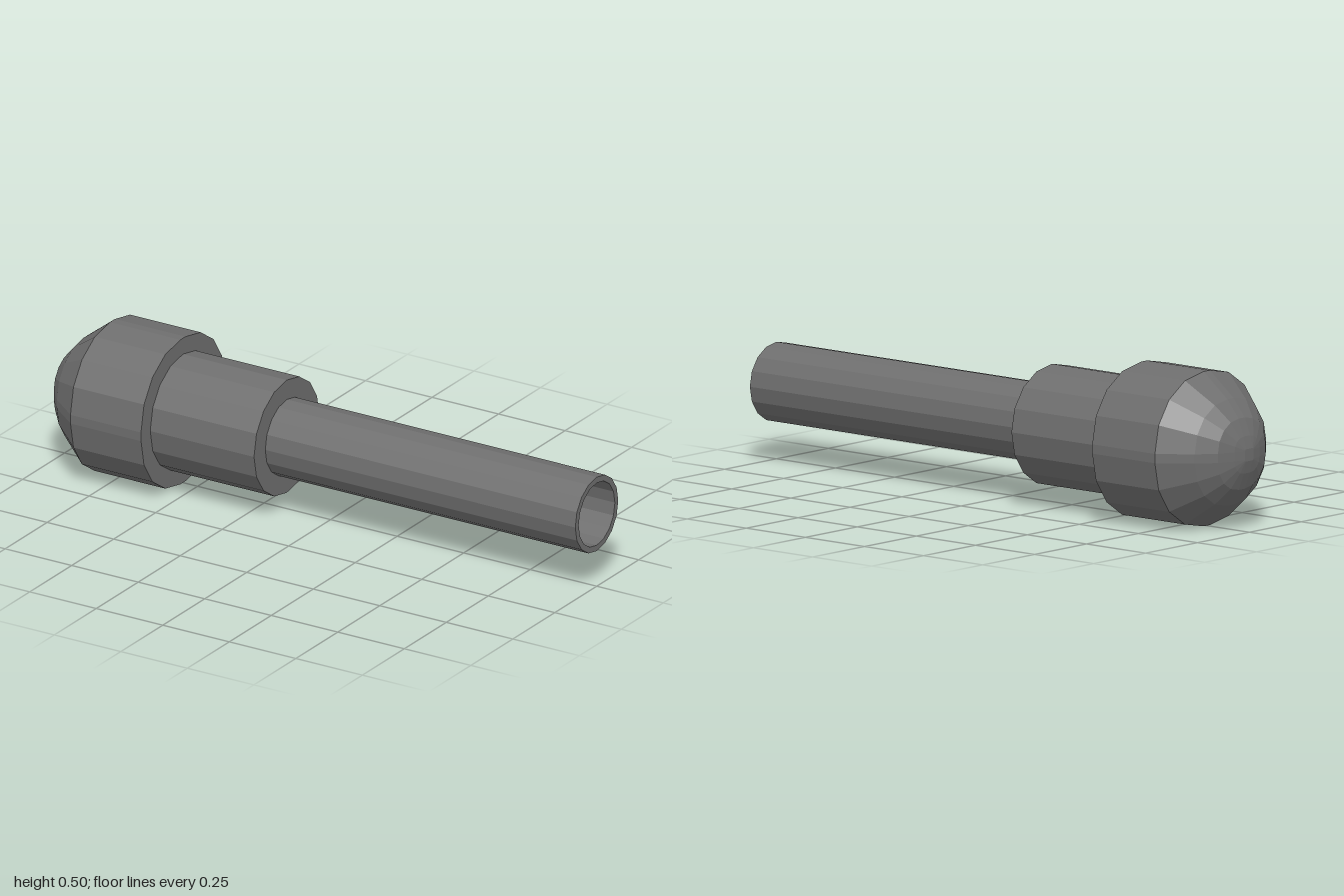
import * as THREE from 'three';

// Cross-section of the head: a square with very round corners, five points per corner
function roundedSquare(x, core, radius) {
  const ring = [];
  for (let q = 0; q < 4; q++) {
    const corner = Math.PI / 4 + q * Math.PI / 2;
    const cy = core * Math.sign(Math.cos(corner));
    const cz = core * Math.sign(Math.sin(corner));
    for (let i = 0; i < 5; i++) {
      const a = q * Math.PI / 2 + i * Math.PI / 8;
      ring.push([x, cy + radius * Math.cos(a), cz + radius * Math.sin(a)]);
    }
  }
  return ring;
}

// Skin cross-sections along +x and cap both ends
function loft(rings) {
  const n = rings[0].length;
  const positions = rings.flat(2);
  const index = [];
  for (let r = 0; r < rings.length - 1; r++) {
    for (let i = 0; i < n; i++) {
      const a = r * n + i, b = r * n + (i + 1) % n;
      index.push(a, b, b + n, a, b + n, a + n);
    }
  }
  const last = (rings.length - 1) * n;
  for (let i = 1; i < n - 1; i++) {
    index.push(0, i + 1, i);
    index.push(last, last + i, last + i + 1);
  }
  const indexed = new THREE.BufferGeometry();
  indexed.setAttribute('position', new THREE.Float32BufferAttribute(positions, 3));
  indexed.setIndex(index);
  return indexed;
}

// Turn a [radius, x] profile around the long axis
function turned(profile) {
  const points = profile.map(([r, x]) => new THREE.Vector2(r, x));
  return new THREE.LatheGeometry(points, 16).rotateZ(-Math.PI / 2);
}

// Unshared vertices give crisp flat facets
function addPart(group, name, geometry, material) {
  const facets = geometry.toNonIndexed();
  facets.computeVertexNormals();
  const mesh = new THREE.Mesh(facets, material);
  mesh.name = name;
  group.add(mesh);
}

export function createModel() {
  const group = new THREE.Group();
  group.name = 'nozzle';
  const metal = new THREE.MeshStandardMaterial({ color: 0x6e6e6e });
  metal.name = 'dark grey metal';
  metal.flatShading = true;

  // Domed head
  const core = 0.015;
  const headProfile = [
    [-1, 0.005], [-0.99, 0.045], [-0.968, 0.1], [-0.92, 0.157],
    [-0.82, 0.235], [-0.555, 0.235],
  ];
  addPart(group, 'head', loft(headProfile.map(([x, r]) => roundedSquare(x, core, r))), metal);

  // Stepped collar behind the head
  addPart(group, 'collar', turned([[0, -0.56], [0.195, -0.56], [0.195, -0.165], [0, -0.165]]), metal);

  // Hollow tube, closed deep inside the collar
  addPart(group, 'tube', turned([
    [0.128, -0.17], [0.128, 1], [0.108, 1], [0.108, -0.16], [0, -0.16],
  ]), metal);

  group.position.y = 0.25;
  return group;
}
